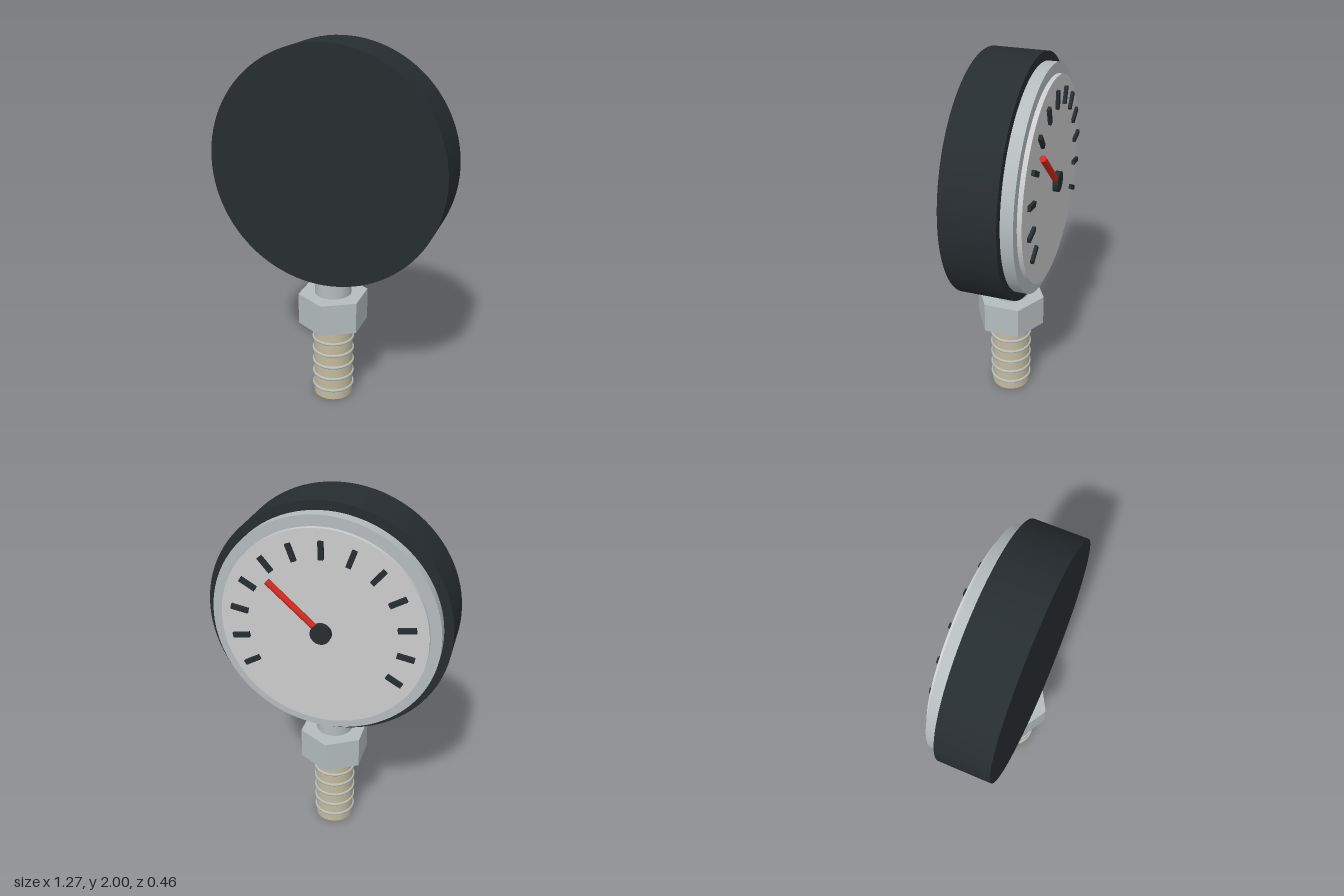
import * as THREE from 'three';

const material = (color) => new THREE.MeshStandardMaterial({ color });
const DARK = material(0x262d30);
const METAL = material(0xb4bcbe);
const GREY = material(0xcccccc);
const BRASS = material(0xc4bb9c);
const RED = material(0xd02a20);

const AXIS_Z = 0.036; // depth of the stem axis and case centre
const DIAL_Y = 1.367; // height of the dial centre

function add(parent, name, geometry, mat) {
  const mesh = new THREE.Mesh(geometry, mat);
  mesh.name = name;
  parent.add(mesh);
  return mesh;
}

// Round part lying along z, between two depths, centred on the dial
function disc(parent, name, radius, zFront, zBack, mat) {
  const geometry = new THREE.CylinderGeometry(radius, radius, zFront - zBack, 96);
  geometry.rotateX(-Math.PI / 2);
  add(parent, name, geometry, mat).position.z = (zFront + zBack) / 2;
}

// Upright part on the stem axis, between two heights
function post(parent, name, radius, y0, y1, sides, mat) {
  let geometry = new THREE.CylinderGeometry(radius, radius, y1 - y0, sides);
  if (sides < 10) {
    geometry = geometry.toNonIndexed();
    geometry.computeVertexNormals();
  }
  add(parent, name, geometry, mat).position.set(0, (y0 + y1) / 2, AXIS_Z);
}

export function createModel() {
  const gauge = new THREE.Group();
  gauge.name = 'pressureGauge';

  // Threaded connector with raised rings, nut and neck
  const connector = new THREE.Group();
  connector.name = 'connector';
  gauge.add(connector);
  post(connector, 'threadedStem', 0.11, 0, 0.456, 48, BRASS);
  for (let i = 0; i < 5; i++) {
    const ring = new THREE.TorusGeometry(0.11, 0.009, 10, 48).rotateX(Math.PI / 2);
    add(connector, 'threadRing', ring, METAL).position.set(0, 0.058 + i * 0.0755, AXIS_Z);
  }
  post(connector, 'hexNut', 0.194, 0.456, 0.635, 6, METAL);
  post(connector, 'neck', 0.101, 0.635, 0.76, 48, METAL);

  // Case, stepped rim and face; the dial looks towards -z
  const head = new THREE.Group();
  head.name = 'gaugeHead';
  head.position.y = DIAL_Y;
  gauge.add(head);
  disc(head, 'case', 0.633, 0.173, -0.106, DARK);
  disc(head, 'rim', 0.586, -0.1, -0.168, METAL);
  disc(head, 'dialFace', 0.531, -0.16, -0.191, GREY);

  // Scale marks every 20 degrees
  const marks = new THREE.Group();
  marks.name = 'scaleMarks';
  head.add(marks);
  for (let i = -6; i <= 6; i++) {
    const angle = THREE.MathUtils.degToRad(i * 20);
    const mark = add(marks, 'scaleMark', new THREE.BoxGeometry(0.026, 0.09, 0.016), DARK);
    mark.position.set(Math.sin(angle) * 0.43, Math.cos(angle) * 0.43, -0.206);
    mark.rotation.z = -angle;
  }

  // Needle and its hub
  const needleAngle = THREE.MathUtils.degToRad(48);
  const needleShape = new THREE.CylinderGeometry(0.0165, 0.0165, 0.365, 20);
  needleShape.translate(0, 0.1825, 0);
  const needle = add(head, 'needle', needleShape, RED);
  needle.position.z = -0.212;
  needle.rotation.z = -needleAngle;
  disc(head, 'needleHub', 0.053, -0.203, -0.231, DARK);

  return gauge;
}
